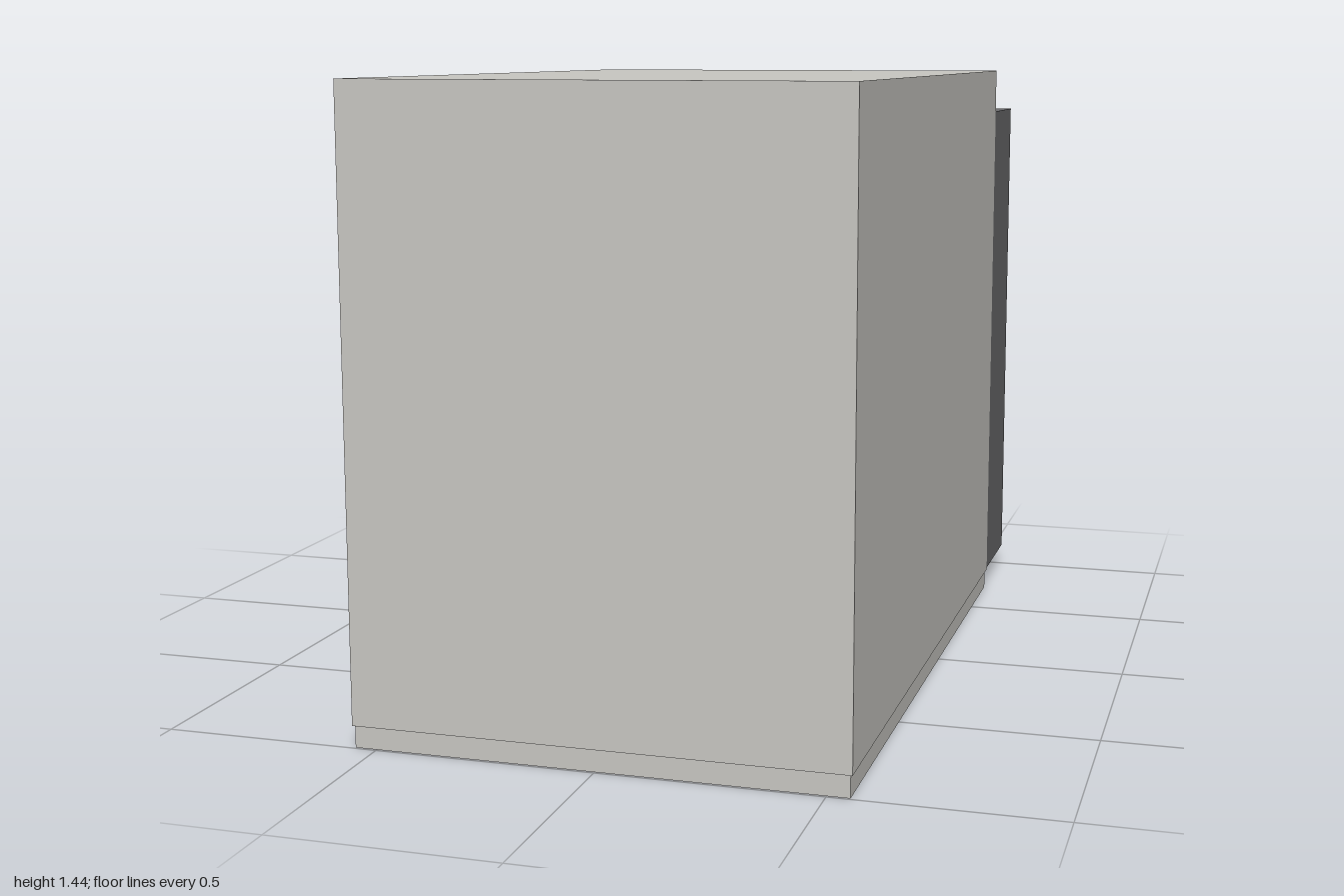
import * as THREE from 'three';

export function createModel() {
  const model = new THREE.Group();
  const lightGrey = new THREE.MeshStandardMaterial({ color: 0xc8c7c2 });
  lightGrey.name = 'lightGrey';
  const darkGrey = new THREE.MeshStandardMaterial({ color: 0x6a6a6c });
  darkGrey.name = 'darkGrey';

  // Box given by its half width and its y and z extents
  const addBox = (name, material, halfWidth, y0, y1, z0, z1) => {
    const geometry = new THREE.BoxGeometry(halfWidth * 2, y1 - y0, z1 - z0);
    const mesh = new THREE.Mesh(geometry, material);
    mesh.name = name;
    mesh.position.set(0, (y0 + y1) / 2, (z0 + z1) / 2);
    model.add(mesh);
  };

  // Main casing, on a slightly inset plinth
  addBox('casing', lightGrey, 0.555, 0.05, 1.44, -0.72, 1);
  addBox('plinth', lightGrey, 0.55, 0, 0.05, -0.715, 0.995);
  // Dark block on the back
  addBox('rearBlock', darkGrey, 0.555, 0.055, 1.33, -1, -0.72);

  return model;
}
